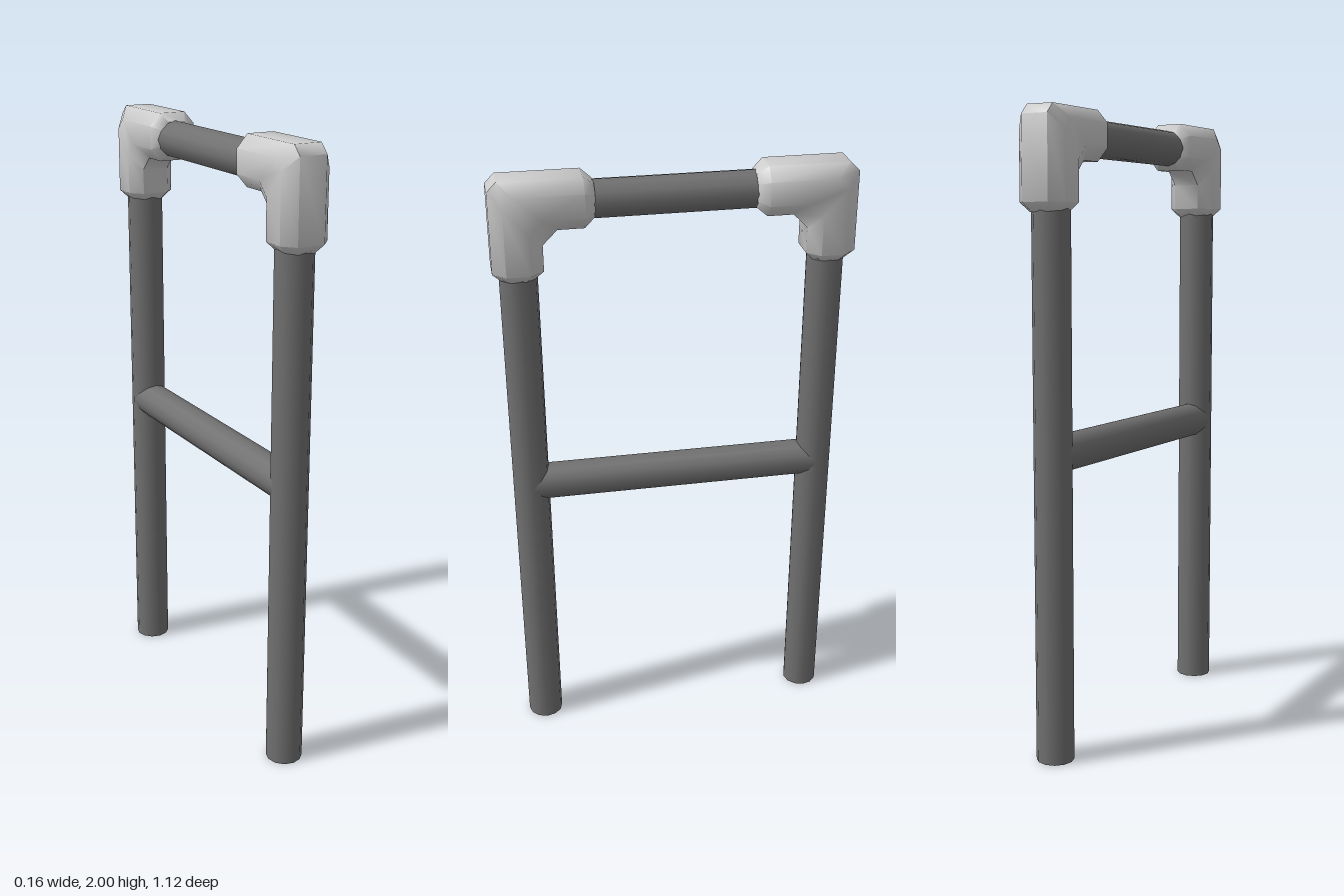
import * as THREE from 'three';
import { toCreasedNormals } from 'three/addons/utils/BufferGeometryUtils.js';

const LEG_Z = 0.48;
const PIPE_X = -0.004;
const PIPE_R = 0.059;

// Straight round pipe, upright or running along z
function pipe(name, length, y, z, alongZ, material) {
  const geometry = new THREE.CylinderGeometry(PIPE_R, PIPE_R, length, 12);
  if (alongZ) geometry.rotateX(Math.PI / 2);
  const mesh = new THREE.Mesh(geometry, material);
  mesh.name = name;
  mesh.position.set(PIPE_X, y, z);
  return mesh;
}

// Bent sleeve: octagonal rings swept from the leg round to the top rail
function elbowGeometry() {
  // outer z, outer y, inner z, inner y, half width
  const sections = [
    [0.534, 1.69, 0.431, 1.69, 0.052],
    [0.56, 1.718, 0.405, 1.718, 0.08],
    [0.56, 1.97, 0.405, 1.80, 0.08],
    [0.53, 2.0, 0.36, 1.845, 0.08],
    [0.278, 2.0, 0.278, 1.845, 0.08],
    [0.245, 1.974, 0.245, 1.871, 0.052],
  ];
  // octagon: share of half width, share of the way from outer to inner
  const octagon = [
    [0.56, 0], [1, 0.26], [1, 0.74], [0.56, 1],
    [-0.56, 1], [-1, 0.74], [-1, 0.26], [-0.56, 0],
  ];
  const n = octagon.length;
  const positions = [];
  const index = [];
  for (const [oz, oy, iz, iy, w] of sections) {
    for (const [a, t] of octagon) {
      positions.push(a * w, oy + (iy - oy) * t, oz + (iz - oz) * t);
    }
  }
  for (let s = 0; s < sections.length - 1; s++) {
    for (let i = 0; i < n; i++) {
      const a = s * n + i;
      const b = s * n + (i + 1) % n;
      index.push(a, b, a + n, b, b + n, a + n);
    }
  }
  // End caps
  const last = (sections.length - 1) * n;
  for (let i = 1; i < n - 1; i++) {
    index.push(0, i + 1, i, last, last + i, last + i + 1);
  }
  const geometry = new THREE.BufferGeometry();
  geometry.setAttribute('position', new THREE.Float32BufferAttribute(positions, 3));
  geometry.setIndex(index);
  return toCreasedNormals(geometry, 0.9);
}

export function createModel() {
  const group = new THREE.Group();
  group.name = 'pipeFrame';
  const pipeMaterial = new THREE.MeshStandardMaterial({ color: 0x707070 });
  const elbowMaterial = new THREE.MeshStandardMaterial({ color: 0xcccccc });

  // Legs and corner elbows, front and back
  const elbow = elbowGeometry();
  for (const side of [1, -1]) {
    const end = side > 0 ? 'front' : 'back';
    group.add(pipe(end + 'Leg', 1.8, 0.9, side * LEG_Z, false, pipeMaterial));
    const corner = new THREE.Mesh(elbow, elbowMaterial);
    corner.name = end + 'Elbow';
    corner.rotation.y = side > 0 ? 0 : Math.PI;
    group.add(corner);
  }

  // Cross rails
  group.add(pipe('middleRail', 2 * LEG_Z, 0.962, 0, true, pipeMaterial));
  group.add(pipe('topRail', 0.8, 1.918, 0, true, pipeMaterial));
  return group;
}
